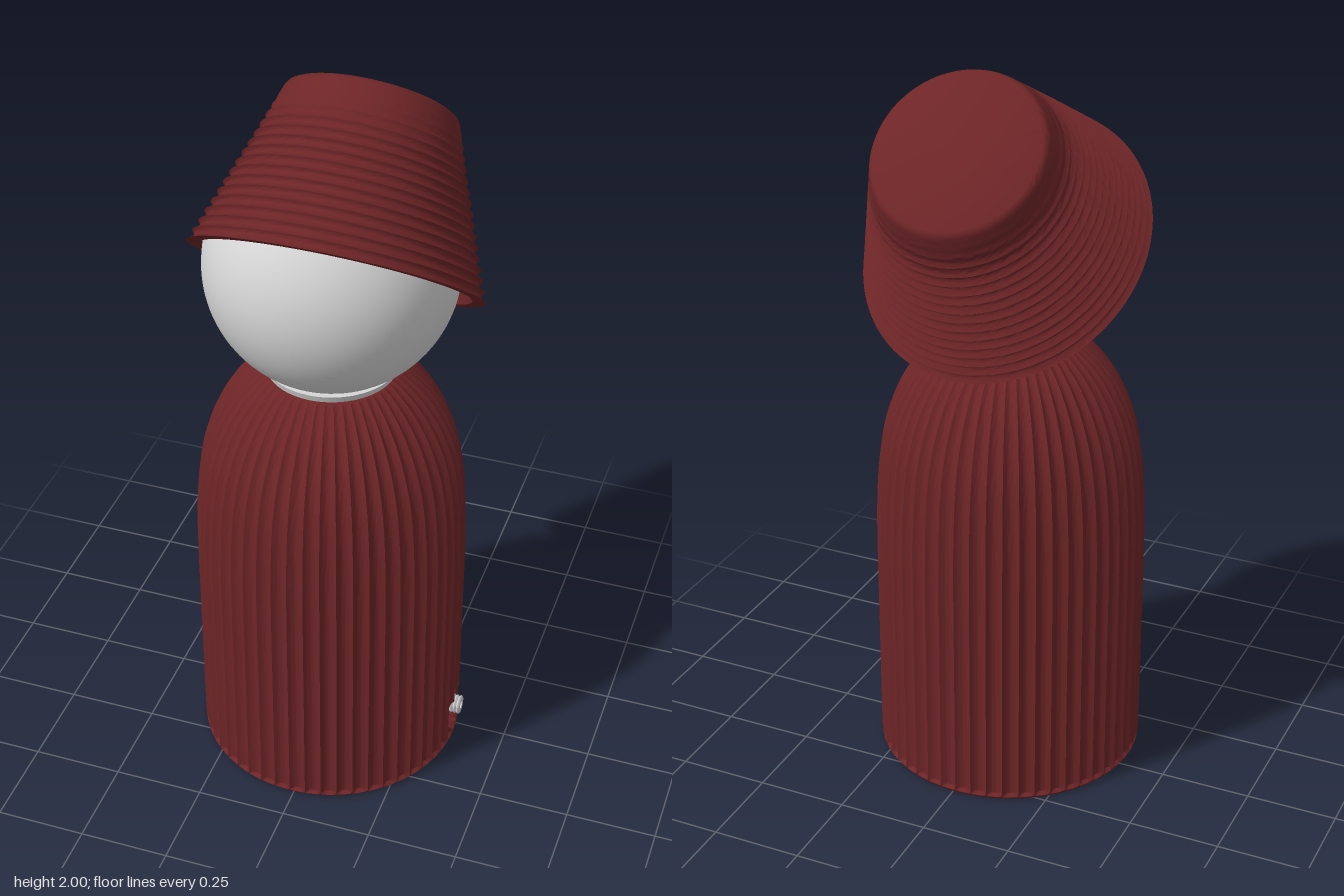
import * as THREE from 'three';
import { toCreasedNormals } from 'three/addons/utils/BufferGeometryUtils.js';

const TAU = Math.PI * 2;

// Skin a stack of closed rings: point(ring, angle) gives [x, y, z]
function loft(rings, sides, point, crease) {
  const pos = [], idx = [];
  rings.forEach((ring, i) => {
    for (let j = 0; j < sides; j++) {
      pos.push(...point(ring, (j / sides) * TAU));
      if (i === rings.length - 1) continue;
      const k = (j + 1) % sides;
      const a = i * sides + j, b = i * sides + k;
      const c = a + sides, d = b + sides;
      if (ring.r !== 0) idx.push(a, c, b);
      if (rings[i + 1].r !== 0) idx.push(b, c, d);
    }
  });
  const geo = new THREE.BufferGeometry();
  geo.setAttribute('position', new THREE.Float32BufferAttribute(pos, 3));
  geo.setIndex(idx);
  return toCreasedNormals(geo, crease);
}

// 0 at each crest, 1 in the middle of each concave groove
function scallop(t) {
  const f = t - Math.floor(t);
  return 4 * f * (1 - f);
}

// Fluted bell-shaped body with a pocket for the socket
function bodyGeometry(cx, cz) {
  const rings = [{ y: 0, r: 0 }, { y: 0, r: 0.362 }, { y: 0.008, r: 0.368 }];
  for (let y = 0.016; y < 0.17; y += 0.008) rings.push({ y, r: 0.37, groove: 0.012 });
  const profile = [
    [0.37, 0.4], [0.37, 0.62], [0.367, 0.76], [0.358, 0.88], [0.341, 0.98],
    [0.314, 1.06], [0.28, 1.125], [0.242, 1.175], [0.205, 1.21], [0.185, 1.225],
  ].map(([r, y]) => new THREE.Vector2(r, y));
  new THREE.SplineCurve(profile).getPoints(27).forEach((p) => {
    rings.push({ y: p.y, r: p.x, groove: 0.012 * Math.min(1, p.x / 0.3) });
  });
  rings.push({ y: 1.225, r: 0 });
  return loft(rings, 52 * 8, ({ y, r, groove = 0 }, a) => {
    const R = r - groove * scallop((a / TAU) * 52);
    let x = cx + R * Math.cos(a);
    const z = cz + R * Math.sin(a);
    const inPocket = x > 0 && Math.hypot(y - 0.078, z - 0.012) < 0.06;
    if (inPocket) x = Math.min(x, 0.322);
    return [x, y, z];
  }, 0.7);
}

// Tilted bucket hat: hollow inside, ringed with ridges outside
function hatGeometry() {
  const mix = THREE.MathUtils.lerp;
  const rings = [{ t: 0.93, r: 0 }, { t: 0.93, inset: 0.035 }, { t: 0.5, inset: 0.035 }, { t: 0, inset: 0.035 }];
  const ribs = 16, steps = 6;
  for (let i = 0; i <= ribs * steps; i++) {
    const t = (i / (ribs * steps)) * 0.97;
    const fade = 1 - THREE.MathUtils.smoothstep(t, 0.6, 0.97);
    rings.push({ t, inset: 0.012 * fade * scallop(i / steps) });
  }
  rings.push({ t: 0.99, inset: 0.002 }, { t: 1, inset: 0.008 }, { t: 1, r: 0 });
  return loft(rings, 112, ({ t, r = 1, inset = 0 }, a) => {
    const tilt = mix(0.695, 0.785, t);
    const side = r * (mix(0.387, 0.226, t) - inset) * Math.cos(a);
    const fore = r * (mix(0.417, 0.227, t) - inset) * Math.sin(a);
    return [
      side,
      mix(1.503, 1.84, t) + fore * Math.sin(tilt),
      mix(0.035, -0.255, t) + fore * Math.cos(tilt),
    ];
  }, 0.7);
}

// Hollow threaded socket barrel
function socketGeometry() {
  const pts = [[0.012, -0.03], [0.012, 0.03], [0.024, 0.03]];
  for (let i = 0; i < 5; i++) {
    const y = 0.026 - i * 0.01;
    pts.push([0.028, y], [0.024, y - 0.005]);
  }
  pts.push([0.024, -0.03]);
  return toCreasedNormals(
    new THREE.LatheGeometry(pts.map(([x, y]) => new THREE.Vector2(x, y)).reverse(), 24), 0.5);
}

export function createModel() {
  const red = new THREE.MeshStandardMaterial({ name: 'dark red', color: 0x6e2527 });
  const white = new THREE.MeshStandardMaterial({ name: 'pale grey', color: 0xd6d6d6 });
  const metal = new THREE.MeshStandardMaterial({ name: 'silver', color: 0xc8c8c8 });
  const model = new THREE.Group();
  model.name = 'hattedFigure';
  const add = (name, geo, mat, x = 0, y = 0, z = 0) => {
    const mesh = new THREE.Mesh(geo, mat);
    mesh.name = name;
    mesh.position.set(x, y, z);
    model.add(mesh);
    return mesh;
  };

  add('body', bodyGeometry(-0.01, 0.048), red);
  add('neck', new THREE.CylinderGeometry(0.18, 0.172, 0.025, 64), white, -0.01, 1.232, 0.042);
  add('head', new THREE.SphereGeometry(0.332, 64, 48), white, -0.012, 1.53, 0.034);
  add('hat', hatGeometry(), red);

  // Socket and its plug core point out of the left side
  const socket = add('socket', socketGeometry(), metal, 0.338, 0.076, 0);
  const core = add('socketCore', new THREE.CylinderGeometry(0.013, 0.013, 0.04, 16), metal, 0.335, 0.076, 0);
  socket.rotation.z = core.rotation.z = -Math.PI / 2;
  return model;
}
